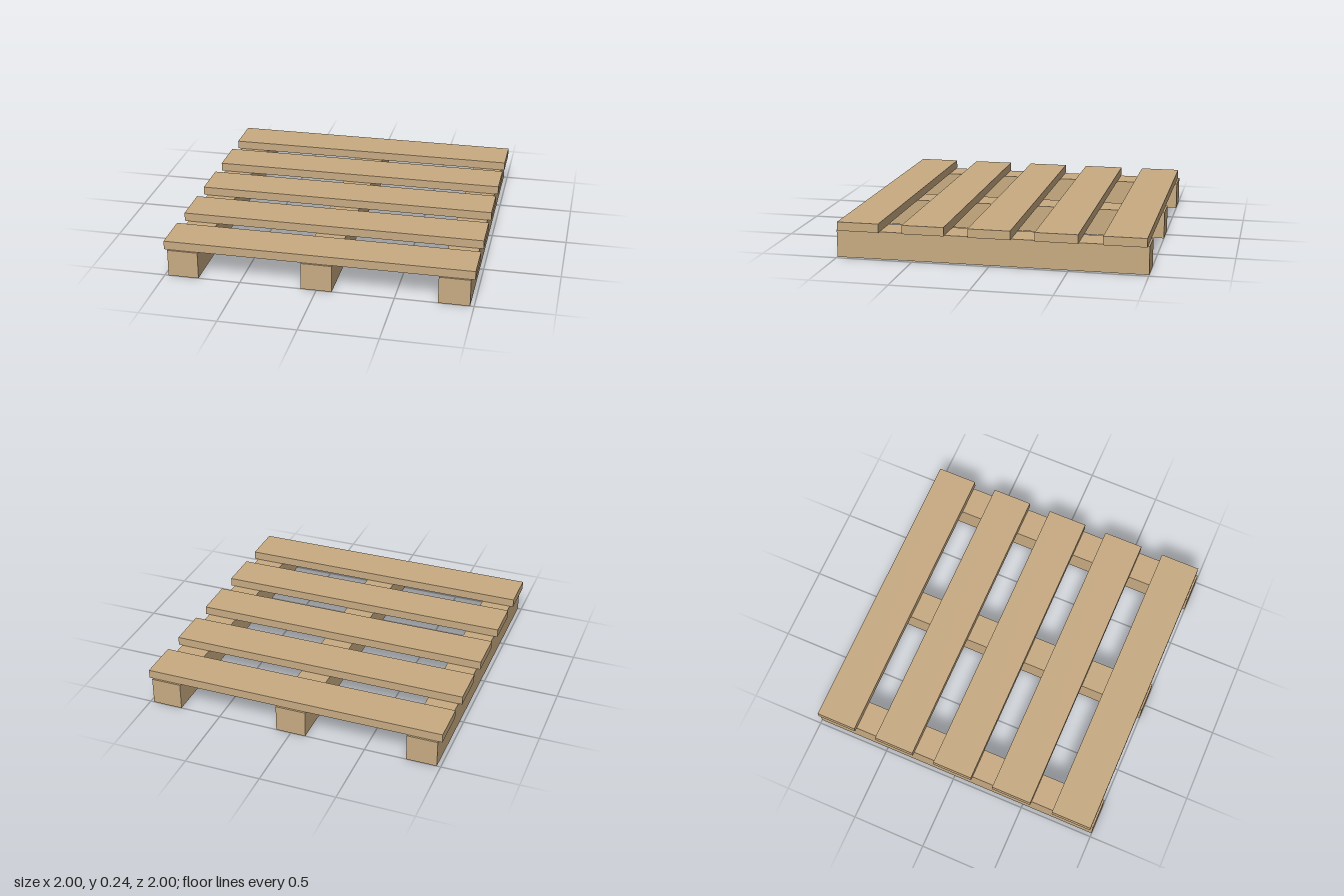
import * as THREE from 'three';

const BEAM = { width: 0.2, height: 0.18, length: 2, spacing: 0.875 };
const SLAT = { length: 2, thickness: 0.057, width: 0.272, spacing: 0.426 };

export function createModel() {
  const group = new THREE.Group();
  group.name = 'pallet';
  const wood = new THREE.MeshStandardMaterial({ color: 0xc8ab82 });
  wood.name = 'light wood';

  const addBoard = (name, geometry, x, y, z) => {
    const mesh = new THREE.Mesh(geometry, wood);
    mesh.name = name;
    mesh.position.set(x, y, z);
    group.add(mesh);
  };

  // Three bearers running front to back
  const beam = new THREE.BoxGeometry(BEAM.width, BEAM.height, BEAM.length);
  ['rightBeam', 'middleBeam', 'leftBeam'].forEach((name, i) =>
    addBoard(name, beam, (i - 1) * BEAM.spacing, BEAM.height / 2, 0));

  // Five deck slats laid across the bearers
  const slat = new THREE.BoxGeometry(SLAT.length, SLAT.thickness, SLAT.width);
  for (let i = 0; i < 5; i++) {
    addBoard(`deckSlat${i + 1}`, slat, 0, BEAM.height + SLAT.thickness / 2, (i - 2) * SLAT.spacing);
  }
  return group;
}
